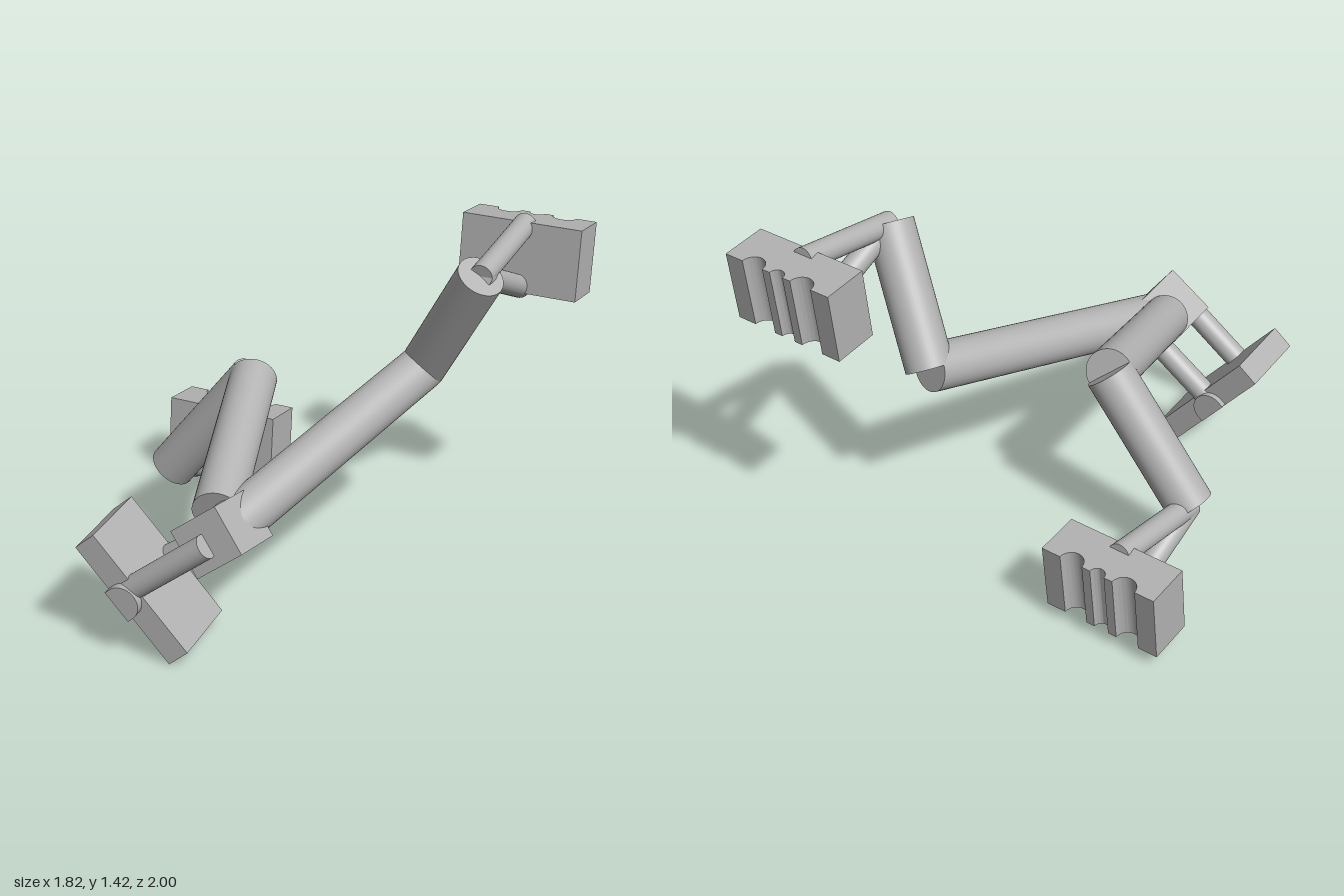
import * as THREE from 'three';
import { toCreasedNormals } from 'three/addons/utils/BufferGeometryUtils.js';

const V = (x, y, z) => new THREE.Vector3(x, y, z);

export function createModel() {
  const model = new THREE.Group();
  model.name = 'jointedGripFrame';
  const grey = new THREE.MeshStandardMaterial({ color: 0xb2b2b2 });
  grey.name = 'plain grey';

  const add = (name, geometry, parent = model) => {
    const mesh = new THREE.Mesh(geometry, grey);
    mesh.name = name;
    parent.add(mesh);
    return mesh;
  };

  // Flat-ended round bar between two points
  const bar = (name, a, b, radius, parent = model) => {
    const dir = b.clone().sub(a);
    const mesh = add(name, new THREE.CylinderGeometry(radius, radius, dir.length(), 40), parent);
    mesh.position.copy(a).add(b).multiplyScalar(0.5);
    mesh.quaternion.setFromUnitVectors(V(0, 1, 0), dir.normalize());
    return mesh;
  };

  // Orient by a long axis and a depth axis (local x and z)
  const orient = (mesh, along, depth) => {
    const z = depth.clone().normalize();
    const y = z.clone().cross(along).normalize();
    const x = y.clone().cross(z);
    mesh.quaternion.setFromRotationMatrix(new THREE.Matrix4().makeBasis(x, y, z));
  };

  // Grip block: three scalloped grooves run down its back
  const w = 0.264, d = 0.097, h = 0.307;
  const profile = new THREE.Shape();
  profile.moveTo(-w, d);
  profile.lineTo(-w, -d);
  for (const [x, r] of [[-0.124, 0.052], [0, 0.033], [0.124, 0.052]]) {
    profile.lineTo(x - r, -d);
    profile.absarc(x, -d, r, Math.PI, 0, true);
  }
  profile.lineTo(w, -d);
  profile.lineTo(w, d);
  profile.closePath();
  let gripGeometry = new THREE.ExtrudeGeometry(profile, { depth: h, bevelEnabled: false, curveSegments: 16 });
  gripGeometry.translate(0, 0, -h / 2);
  gripGeometry.rotateX(Math.PI / 2);
  gripGeometry = toCreasedNormals(gripGeometry, 0.6);

  // Two limbs, each with upper bar, lower bar, forked struts and grip
  const limbs = [
    { side: 'left', root: V(0.06, 0.54, 0.72), elbow: V(0.345, 0.8, -0.495), wrist: V(0.643, 1.308, -0.358) },
    { side: 'right', root: V(-0.01, 0.575, 0.68), elbow: V(-0.25, 0.795, -0.083), wrist: V(-0.648, 0.297, -0.067) },
  ];
  for (const { side, root, elbow, wrist } of limbs) {
    const limb = new THREE.Group();
    limb.name = side + 'Limb';
    model.add(limb);
    bar(side + 'UpperBar', root, elbow, 0.1, limb);
    bar(side + 'LowerBar', elbow, wrist, 0.1, limb);
    bar(side + 'TopStrut', wrist, wrist.clone().add(V(0, 0.066, -0.498)), 0.049, limb);
    bar(side + 'BottomStrut', wrist, wrist.clone().add(V(0, -0.206, -0.467)), 0.049, limb);
    const grip = add(side + 'Grip', gripGeometry, limb);
    grip.position.copy(wrist).add(V(0, -0.073, -0.53));
    grip.rotation.x = -0.11;
  }

  // Hub block where the limbs meet
  const hub = add('hubBlock', new THREE.BoxGeometry(0.21, 0.23, 0.26));
  hub.position.set(0.05, 0.53, 0.75);
  orient(hub, V(0.62, -0.785, 0.128), V(0, 0.16, 0.98));

  // Base plate with a rounded cross rib, local +y facing the hub
  const base = new THREE.Group();
  base.name = 'basePlateGroup';
  base.position.set(-0.263, 0.261, 0.78);
  orient(base, V(0.65, -0.755, -0.06), V(0.1, 0, 0.995));
  model.add(base);
  add('basePlate', new THREE.BoxGeometry(0.59, 0.105, 0.347), base);

  const ribShape = new THREE.Shape();
  ribShape.moveTo(0.073, -0.05);
  ribShape.lineTo(0.073, -0.025);
  ribShape.absarc(0, -0.025, 0.073, 0, Math.PI, false);
  ribShape.lineTo(-0.073, -0.05);
  ribShape.closePath();
  const ribGeometry = new THREE.ExtrudeGeometry(ribShape, { depth: 0.41, bevelEnabled: false, curveSegments: 24 });
  ribGeometry.translate(-0.015, 0, -0.2);
  add('crossRib', toCreasedNormals(ribGeometry, 0.6), base);

  // Parallel struts from hub to base plate
  bar('frontBaseStrut', V(0.06, 0.548, 0.897), V(-0.275, 0.285, 0.93), 0.05);
  bar('rearBaseStrut', V(0.05, 0.51, 0.62), V(-0.285, 0.275, 0.637), 0.05);

  return model;
}
